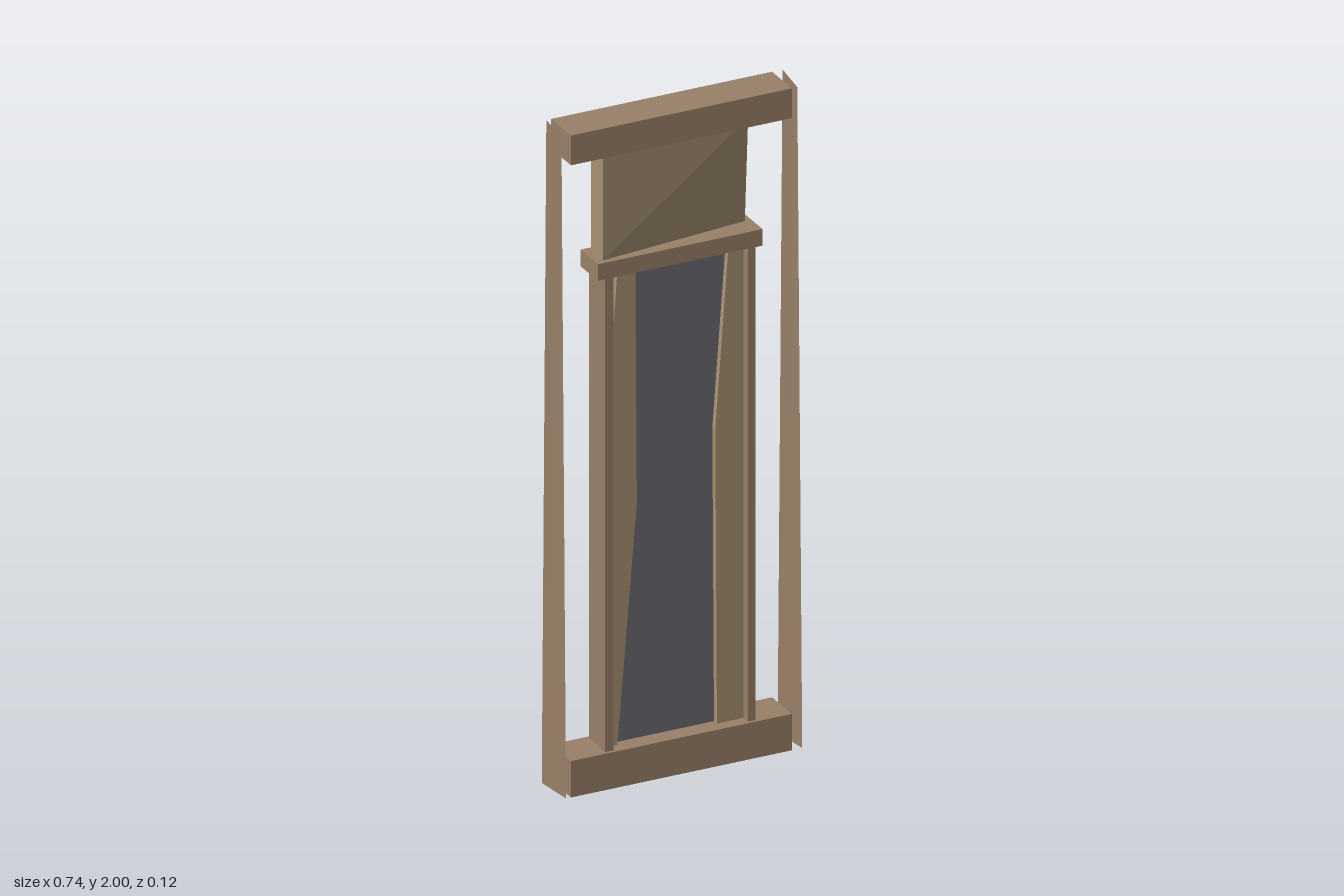
import * as THREE from 'three';

const mat = (color, side = THREE.FrontSide) =>
  new THREE.MeshStandardMaterial({ color, flatShading: true, side });
const wood = mat(0x9a8168);
const woodSheet = mat(0x9a8168, THREE.DoubleSide);
const paleWood = mat(0xa89274, THREE.DoubleSide);
const glass = mat(0x6c6c72);
const metal = mat(0x45454c);

export function createModel() {
  const root = new THREE.Group();

  const add = (name, geometry, material, x = 0, y = 0, z = 0) => {
    const mesh = new THREE.Mesh(geometry, material);
    mesh.name = name;
    mesh.position.set(x, y, z);
    root.add(mesh);
    return mesh;
  };

  // Box given by its limits, centred on z = 0
  const block = (name, x0, x1, y0, y1, depth, material) =>
    add(name, new THREE.BoxGeometry(x1 - x0, y1 - y0, depth), material, (x0 + x1) / 2, (y0 + y1) / 2);

  // Small indexed surface from corner points
  const facets = (points, index) => {
    const g = new THREE.BufferGeometry();
    g.setAttribute('position', new THREE.Float32BufferAttribute(points.flat(), 3));
    g.setIndex(index);
    const flat = g.toNonIndexed();
    flat.computeVertexNormals();
    return flat;
  };

  // Flat outline extruded between two depths
  const slab = (name, outline, z0, z1, material) => {
    const shape = new THREE.Shape(outline.map(([x, y]) => new THREE.Vector2(x, y)));
    add(name, new THREE.ExtrudeGeometry(shape, { depth: z1 - z0, bevelEnabled: false }), material, 0, 0, z0);
  };

  // Horizontal beams
  block('bottomBeam', -0.34, 0.336, 0, 0.11, 0.12, wood);
  block('topBeam', -0.34, 0.336, 1.91, 2, 0.12, wood);

  // Thin outer side boards with a slight twist
  for (const [name, a, b] of [['rightSideBoard', -0.369, -0.355], ['leftSideBoard', 0.353, 0.368]]) {
    const corners = [[a, 2, 0.06], [b, 2, -0.06], [a, 0, -0.06], [b, 0, 0.06]];
    add(name, facets(corners, [0, 2, 1, 0, 3, 2]), woodSheet);
  }

  // Wedge-shaped panel over the door, narrowing to one edge
  const y0 = 1.59, y1 = 1.91, x = 0.23;
  add('transomPanel', facets([
    [-x, y0, 0.037], [-x, y1, 0.037], [-x, y0, -0.037], [-x, y1, -0.037],
    [x, y0, -0.015], [x, y1, 0.005],
  ], [0, 4, 5, 0, 5, 1, 2, 3, 5, 2, 5, 4, 0, 1, 3, 0, 3, 2]), paleWood);

  // Ledge and door posts
  block('doorLedge', -0.254, 0.25, 1.54, 1.59, 0.106, wood);
  block('rightDoorPost', -0.23, -0.205, 0.11, 1.54, 0.1, wood);
  block('leftDoorPost', 0.207, 0.23, 0.11, 1.54, 0.1, wood);

  // Pane filling the door
  block('doorPane', -0.205, 0.207, 0.11, 1.54, 0.012, glass);

  // Front stiles with uneven inner edges
  slab('frontRightStile', [[-0.205, 0.11], [-0.18, 0.11], [-0.12, 0.83], [-0.125, 1.54],
    [-0.18, 1.54], [-0.205, 1.2]], 0.006, 0.024, paleWood);
  slab('frontLeftStile', [[0.125, 0.11], [0.207, 0.11], [0.207, 1.54], [0.16, 1.54],
    [0.12, 1.0]], 0.006, 0.024, paleWood);

  // Back stiles
  slab('backLeftStile', [[0.122, 0.11], [0.207, 0.11], [0.207, 1.54], [0.122, 1.54]], -0.024, -0.006, paleWood);
  // The other back stile is split by a narrow diagonal gap
  slab('backRightStileInner', [[-0.125, 0.11], [-0.125, 1.54], [-0.198, 1.54]], -0.024, -0.006, paleWood);
  slab('backRightStileOuter', [[-0.132, 0.11], [-0.205, 1.54], [-0.205, 0.11]], -0.024, -0.006, paleWood);

  // Door knob on the back
  const stem = add('knobStem', new THREE.CylinderGeometry(0.008, 0.008, 0.03, 8), metal, 0.165, 0.72, -0.036);
  stem.rotation.x = Math.PI / 2;
  add('doorKnob', new THREE.SphereGeometry(0.018, 8, 6), metal, 0.165, 0.72, -0.042);

  return root;
}
